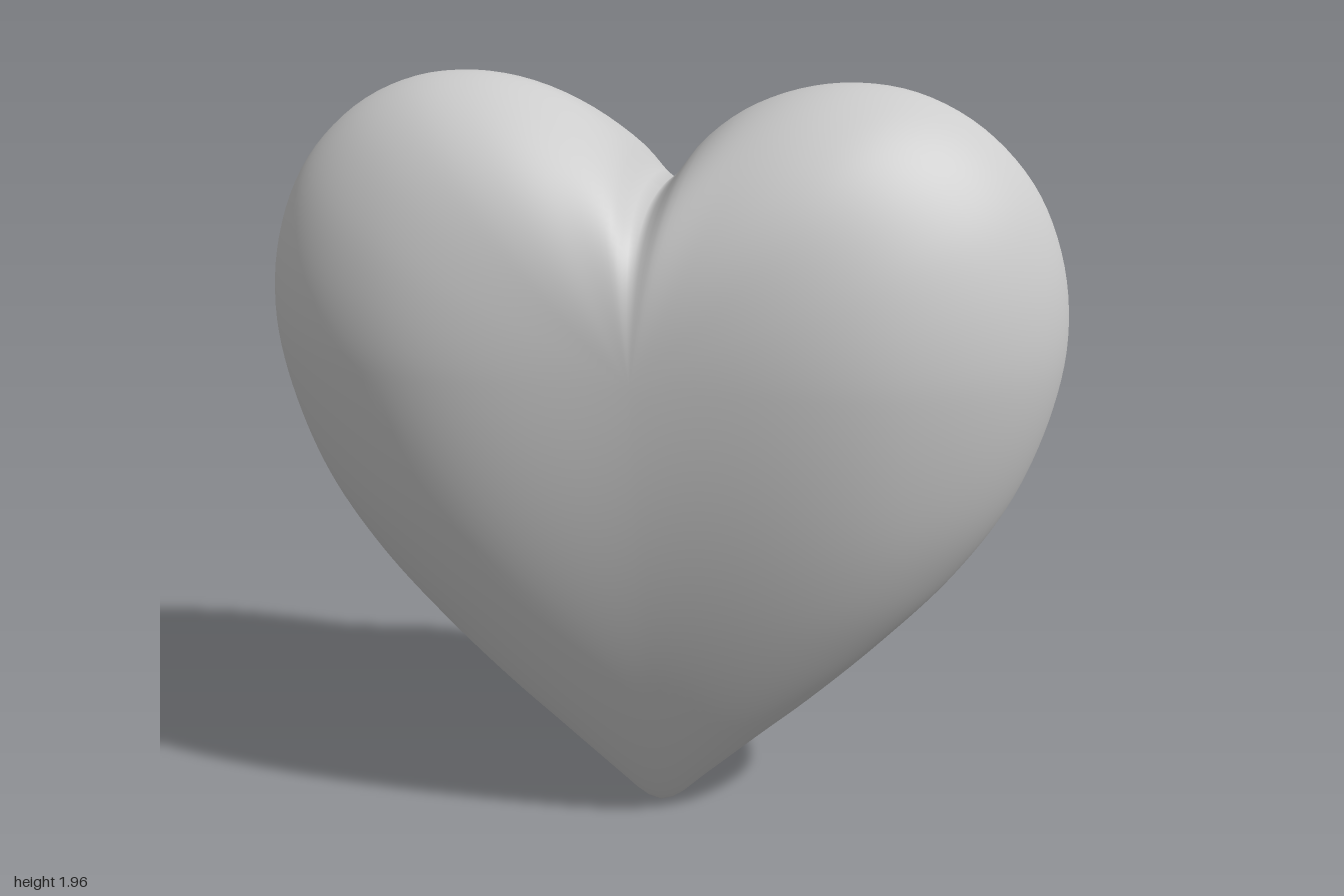
import * as THREE from 'three';
import { mergeVertices } from 'three/addons/utils/BufferGeometryUtils.js';

// Right half of the heart outline, from the notch clockwise to the tip
const HALF = [
  [0, 1.69], [0.035, 1.72], [0.1, 1.805], [0.2, 1.885], [0.33, 1.94], [0.47, 1.96],
  [0.62, 1.94], [0.77, 1.865], [0.9, 1.73], [0.975, 1.56], [1, 1.37], [0.975, 1.18],
  [0.89, 0.94], [0.76, 0.735], [0.58, 0.53], [0.4, 0.35], [0.285, 0.245],
  [0.12, 0.09], [0.04, 0.015], [0, 0],
];
const CENTRE_Y = 1.3;
const { lerp, smoothstep } = THREE.MathUtils;

// Half width of the outline at a height below the centre
function halfWidth(outline, y) {
  for (let j = outline.length / 2 - 1; j > 0; j--) {
    const low = outline[j + 1];
    const high = outline[j];
    if (high.y >= y) return lerp(low.x, high.x, (y - low.y) / (high.y - low.y));
  }
  return 1;
}

// Half thickness between the two lobes, slightly fuller in each lobe
const fullDepth = (x) => 0.397 + 0.043 * smoothstep(Math.abs(x), 0, 0.65);

// Lobes: thickness falls off along rays from the centre, rounder towards the top
function lobeDepth(s, x, dx, dy) {
  const up = smoothstep(dy / Math.hypot(dx, dy), 0, 0.7);
  return fullDepth(x) * (1 - s ** lerp(3, 2.4, up)) ** lerp(0.58, 0.6, up);
}

// Lower body: level cross-sections that shrink towards the tip
function bodyDepth(x, y, width) {
  const t = Math.min(1, 1 - y / CENTRE_Y);
  const u = Math.min(1, Math.abs(x) / Math.max(width, 1e-6));
  return fullDepth(x) * (1 - t * t) ** 0.85 * (1 - u ** lerp(3, 2.2, t)) ** 0.58;
}

function heartGeometry(columns = 180, rings = 30) {
  const mirrored = HALF.slice(1, -1).reverse().map(([x, y]) => [-x, y]);
  const points = [...HALF, ...mirrored].map(([x, y]) => new THREE.Vector3(x, y, 0));
  const outline = new THREE.CatmullRomCurve3(points, true).getSpacedPoints(columns).slice(0, columns);
  const rows = rings * 2;
  const positions = [];
  const indices = [];

  // Rings grow from the front centre to the outline, then shrink to the back centre
  for (let i = 0; i <= rows; i++) {
    const s = i === 0 || i === rows ? 0 : Math.sin((Math.PI * i) / rows);
    const side = i < rings ? 1 : -1;
    for (const point of outline) {
      const dx = point.x;
      const dy = point.y - CENTRE_Y;
      // The notch fades out on the inner rings
      const lift = dy > 0 ? 0.16 * Math.exp(-((dx / 0.16) ** 2)) * (1 - s * s) : 0;
      const x = dx * s;
      const y = CENTRE_Y + (dy + lift) * s;
      let z = 0;
      if (s === 0) z = side * fullDepth(0);
      else if (i !== rings) {
        z = side * (dy > 0 ? lobeDepth(s, x, dx, dy) : bodyDepth(x, y, halfWidth(outline, y)));
      }
      positions.push(x, y, z);
    }
  }
  for (let i = 0; i < rows; i++) {
    for (let j = 0; j < columns; j++) {
      const k = (j + 1) % columns;
      const a = i * columns + j;
      const b = a + columns;
      const c = (i + 1) * columns + k;
      const d = i * columns + k;
      if (i < rows - 1) indices.push(a, c, b);
      if (i > 0) indices.push(a, d, c);
    }
  }

  const geometry = new THREE.BufferGeometry();
  geometry.setAttribute('position', new THREE.Float32BufferAttribute(positions, 3));
  geometry.setIndex(indices);
  const welded = mergeVertices(geometry, 1e-5); // joins the points at both centres
  welded.computeVertexNormals();
  return welded;
}

export function createModel() {
  const grey = new THREE.MeshStandardMaterial({ color: 0xcccccc });
  grey.name = 'light grey';

  const heart = new THREE.Mesh(heartGeometry(), grey);
  heart.name = 'heart';

  const model = new THREE.Group();
  model.name = 'puffy heart';
  model.add(heart);
  return model;
}
